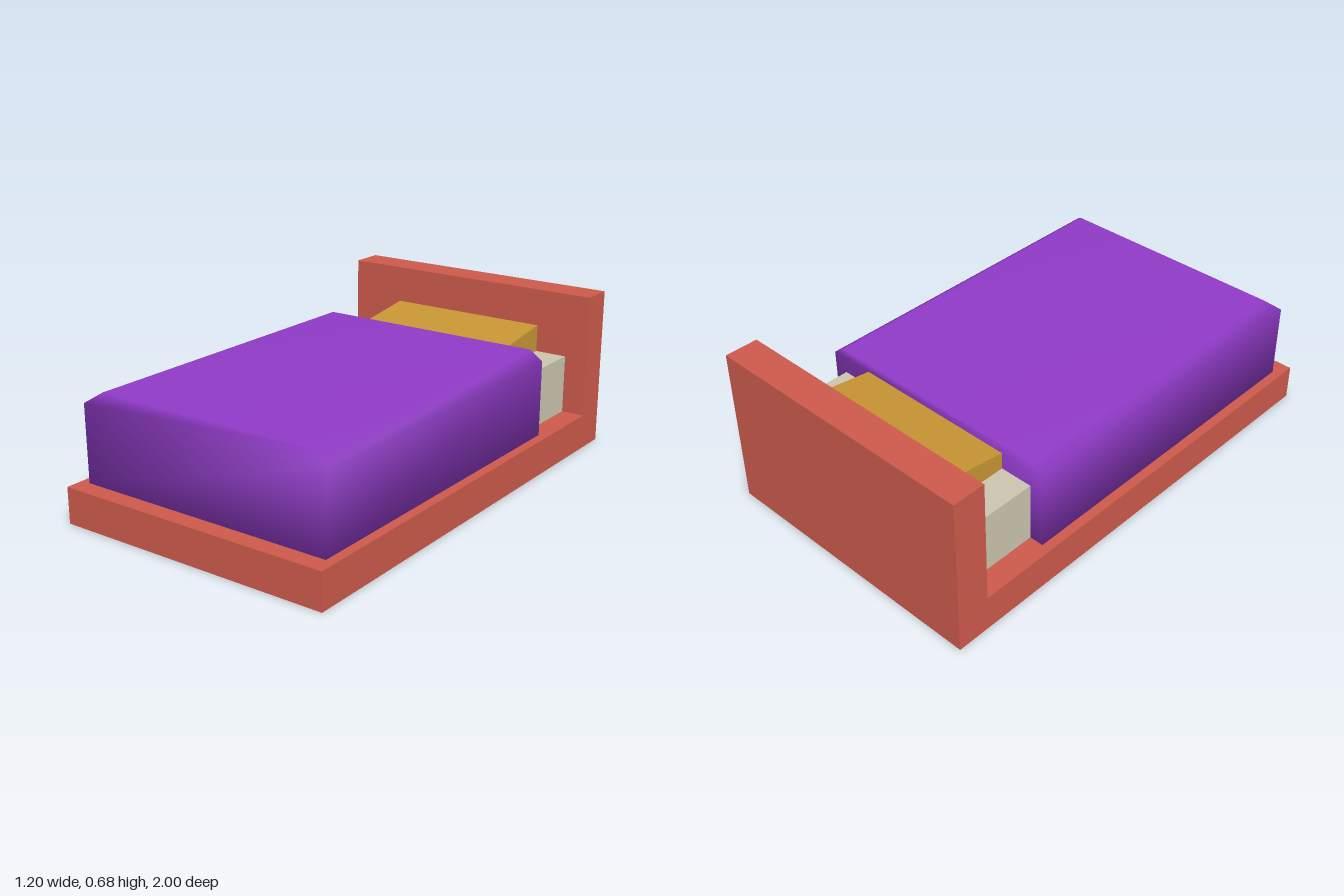
import * as THREE from 'three';

function material(name, color) {
  const m = new THREE.MeshStandardMaterial({ color });
  m.name = name;
  return m;
}

// Box given by its lower and upper corners
function block(name, mat, [x0, y0, z0], [x1, y1, z1]) {
  const geo = new THREE.BoxGeometry(x1 - x0, y1 - y0, z1 - z0);
  geo.translate((x0 + x1) / 2, (y0 + y1) / 2, (z0 + z1) / 2);
  const mesh = new THREE.Mesh(geo, mat);
  mesh.name = name;
  return mesh;
}

// Closed, softly shaded shell from stacked rectangles: [y, half width, back z, front z]
function stackedShell(rings) {
  const pos = [], idx = [];
  for (const [y, w, back, front] of rings) {
    pos.push(-w, y, front, w, y, front, w, y, back, -w, y, back);
  }
  for (let r = 0; r < rings.length - 1; r++) {
    for (let i = 0; i < 4; i++) {
      const a = r * 4 + i, b = r * 4 + (i + 1) % 4;
      idx.push(a, b, b + 4, a, b + 4, a + 4);
    }
  }
  const t = (rings.length - 1) * 4;
  idx.push(t, t + 1, t + 2, t, t + 2, t + 3, 0, 2, 1, 0, 3, 2);
  const geo = new THREE.BufferGeometry();
  geo.setAttribute('position', new THREE.Float32BufferAttribute(pos, 3));
  geo.setIndex(idx);
  geo.computeVertexNormals();
  return geo;
}

export function createModel() {
  const bed = new THREE.Group();
  bed.name = 'bed';
  const frameRed = material('frame red', 0xcb5a4b);
  const sheetCream = material('sheet cream', 0xcac3ae);
  const pillowGold = material('pillow gold', 0xc79434);
  const blanketPurple = material('blanket purple', 0x8f3ac6);

  // Frame: L-shaped side outline, extruded across the width
  const outline = new THREE.Shape([
    [-1, 0], [1, 0], [1, 0.675], [0.86, 0.675], [0.86, 0.15], [-1, 0.15],
  ].map(([x, y]) => new THREE.Vector2(x, y)));
  const frameGeo = new THREE.ExtrudeGeometry(outline, { depth: 1.2, bevelEnabled: false });
  frameGeo.translate(0, 0, -0.6).rotateY(Math.PI / 2);
  const frame = new THREE.Mesh(frameGeo, frameRed);
  frame.name = 'frameAndHeadboard';
  bed.add(frame);

  bed.add(block('mattress', sheetCream, [-0.5, 0.15, -0.86], [0.5, 0.4, 0.85]));

  // Pillow: wedge rising toward the headboard
  const wedge = new THREE.Shape([
    [0.45, 0.4], [0.86, 0.4], [0.86, 0.516], [0.45, 0.46],
  ].map(([x, y]) => new THREE.Vector2(x, y)));
  const pillowGeo = new THREE.ExtrudeGeometry(wedge, { depth: 0.72, bevelEnabled: false });
  pillowGeo.translate(0, 0, -0.36).rotateY(Math.PI / 2);
  const pillow = new THREE.Mesh(pillowGeo, pillowGold);
  pillow.name = 'pillow';
  bed.add(pillow);

  // Blanket: chamfered at the sides and foot, square at the pillow end
  const blanket = new THREE.Mesh(stackedShell([
    [0.15, 0.56, -0.535, 0.925],
    [0.47, 0.56, -0.535, 0.925],
    [0.51, 0.505, -0.535, 0.88],
  ]), blanketPurple);
  blanket.name = 'blanket';
  bed.add(blanket);

  return bed;
}
